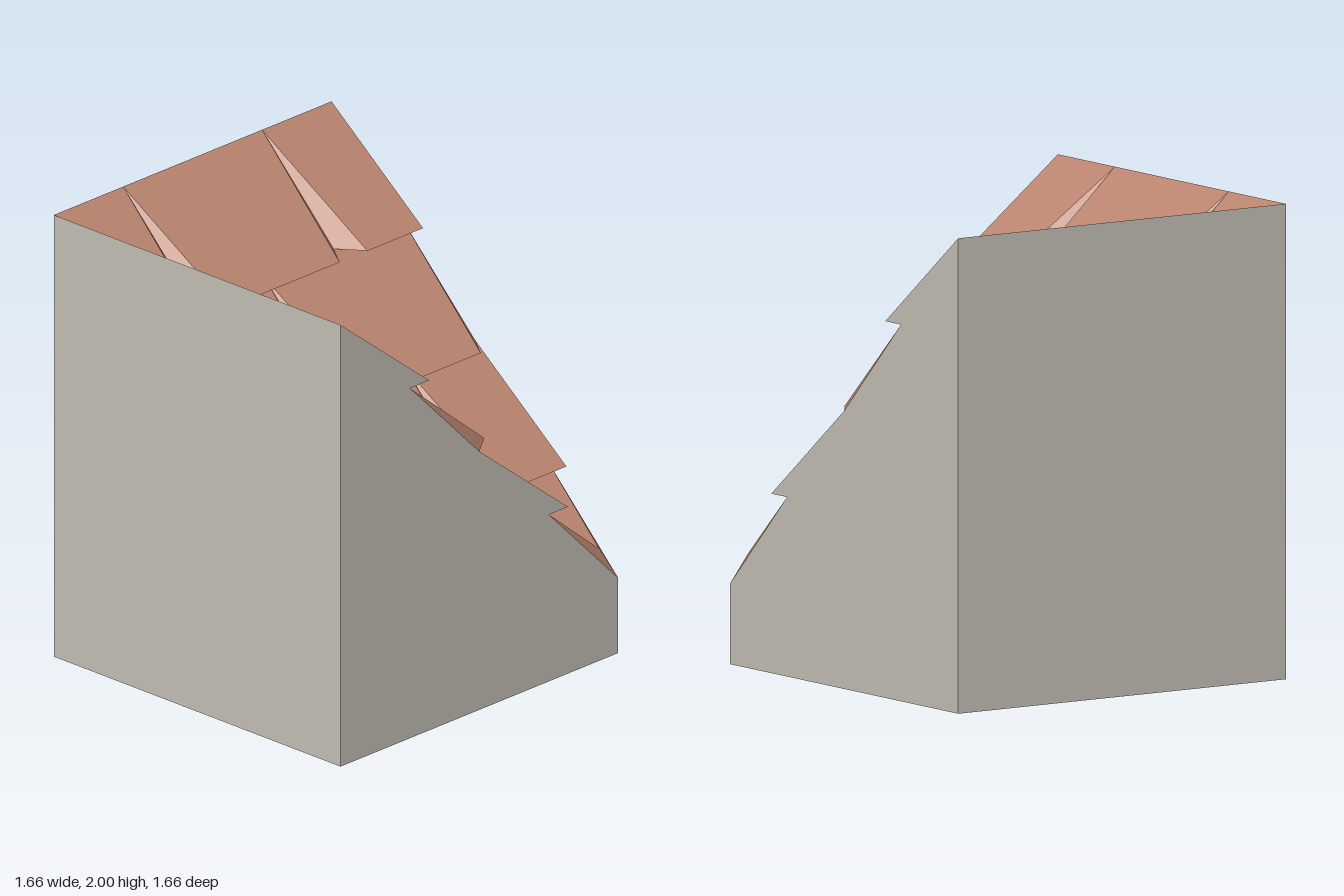
import * as THREE from 'three';

const R = 0.83;         // half width of the block
const STEP = 0.415;     // rise and run of one tile row
const DEPTH = 0.53;     // overhanging length of a tile
const NOTCH = 0.083;    // half width of the gap between tiles at its lower end

// Keeps the part of a polygon where dist(point) >= 0
function clip(poly, dist) {
  const out = [];
  poly.forEach((a, i) => {
    const b = poly[(i + 1) % poly.length];
    const da = dist(a), db = dist(b);
    if (da >= -1e-9) out.push(a);
    if ((da > 1e-9 && db < -1e-9) || (da < -1e-9 && db > 1e-9)) {
      out.push(a.clone().lerp(b, da / (da - db)));
    }
  });
  return out;
}

// One row of overlapping tiles, cut at the valley and at the block's sides
function tileRow(row, mirrored) {
  const zt = R - STEP * row, yt = 2 - STEP * row;
  const zb = zt - DEPTH, yb = yt - STEP, zBase = zt - STEP;
  const v = (x, y, z) => new THREE.Vector3(x, y, z);
  const pos = [];
  const first = row % 2 ? -R : -R - STEP;
  for (let c0 = first; c0 < R - 0.01; c0 += 2 * STEP) {
    const c1 = c0 + 2 * STEP;
    const a0 = v(c0, yt, zt), a1 = v(c1, yt, zt);
    const b0 = v(c0, yb, zBase), b1 = v(c1, yb, zBase);
    const e0 = v(c0 + NOTCH, yb, zb), e1 = v(c1 - NOTCH, yb, zb);
    const faces = [
      [a0, a1, e1, e0],   // top
      [b0, e0, e1, b1],   // underside
      [a0, e0, b0],       // side towards one gap
      [a1, b1, e1],       // side towards the other gap
    ];
    for (const face of faces) {
      let p = clip(face, (q) => q.x + q.z);
      p = clip(p, (q) => q.z + R);
      p = clip(p, (q) => R - q.x);
      if (mirrored) p = p.map((q) => v(-q.z, q.y, -q.x)).reverse();
      for (let i = 1; i < p.length - 1; i++) {
        for (const q of [p[0], p[i], p[i + 1]]) pos.push(q.x, q.y, q.z);
      }
    }
  }
  const g = new THREE.BufferGeometry();
  g.setAttribute('position', new THREE.Float32BufferAttribute(pos, 3));
  g.computeVertexNormals();
  return g;
}

export function createModel() {
  const group = new THREE.Group();
  const wall = new THREE.MeshStandardMaterial({ color: 0xc2beb4 });
  wall.name = 'pale stone';
  const roof = new THREE.MeshStandardMaterial({ color: 0xba8570 });
  roof.name = 'clay tile';
  const add = (name, geometry, material) => {
    const m = new THREE.Mesh(geometry, material);
    m.name = name;
    group.add(m);
  };

  // Full-height walls and the base
  add('frontWall', new THREE.PlaneGeometry(2 * R, 2).translate(0, 1, R), wall);
  add('rightWall', new THREE.PlaneGeometry(2 * R, 2).rotateY(-Math.PI / 2).translate(-R, 1, 0), wall);
  add('base', new THREE.PlaneGeometry(2 * R, 2 * R).rotateX(Math.PI / 2), wall);

  // Gable walls following the stepped tile ends
  const profile = [
    [R, 0], [-R, 0], [-R, 2], [DEPTH - R, 2 - STEP], [STEP - R, 2 - STEP],
    [0, 2 - 2 * STEP], [DEPTH, 2 - 3 * STEP], [STEP, 2 - 3 * STEP], [R, 2 - 4 * STEP],
  ];
  const gable = (s) => new THREE.ShapeGeometry(
    new THREE.Shape(profile.map(([u, y]) => new THREE.Vector2(s * u, y))));
  add('leftGable', gable(1).rotateY(Math.PI / 2).translate(R, 0, 0), wall);
  add('backGable', gable(-1).rotateY(Math.PI).translate(0, 0, -R), wall);

  // Two tiled slopes meeting in a diagonal valley
  for (let row = 0; row < 4; row++) {
    add('backSlopeTiles' + (row + 1), tileRow(row, false), roof);
    add('leftSlopeTiles' + (row + 1), tileRow(row, true), roof);
  }
  return group;
}
